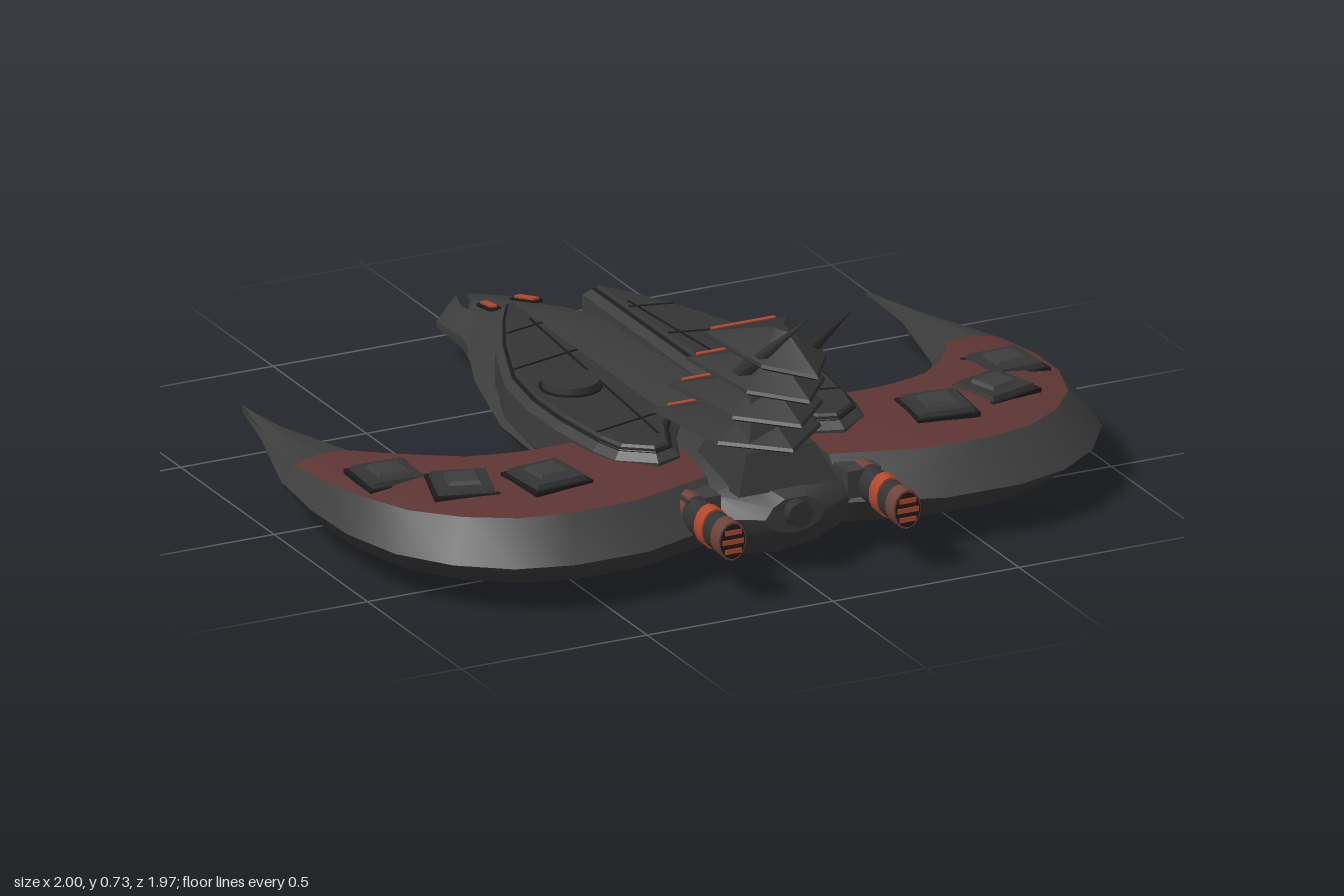
import * as THREE from 'three';
import { toCreasedNormals } from 'three/addons/utils/BufferGeometryUtils.js';

const mat = (name, color) => Object.assign(new THREE.MeshStandardMaterial({ color }), { name });

// Loft closed cross-sections; keep(i, j) picks which side faces to emit.
function loft(rings, keep = () => true, caps = true) {
  const tris = [];
  const n = rings[0].length;
  const add = (a, b, c, on) => tris.push({ p: [a, b, c].map((q) => new THREE.Vector3(...q)), on });
  for (let i = 0; i < rings.length - 1; i++) {
    for (let j = 0; j < n; j++) {
      const k = (j + 1) % n, A = rings[i], B = rings[i + 1];
      add(A[j], B[j], B[k], keep(i, j));
      add(A[j], B[k], A[k], keep(i, j));
    }
  }
  const last = rings[rings.length - 1];
  for (let j = 1; j < n - 1; j++) {
    add(rings[0][0], rings[0][j], rings[0][j + 1], caps);
    add(last[0], last[j + 1], last[j], caps);
  }
  // Turn the faces outward
  let volume = 0;
  for (const { p: [a, b, c] } of tris) volume += a.dot(b.clone().cross(c));
  const out = [];
  for (const { p: [a, b, c], on } of tris) {
    const area = b.clone().sub(a).cross(c.clone().sub(a)).length();
    if (!on || area < 1e-8) continue;
    for (const v of volume > 0 ? [a, b, c] : [a, c, b]) out.push(v.x, v.y, v.z);
  }
  const geo = new THREE.BufferGeometry();
  geo.setAttribute('position', new THREE.Float32BufferAttribute(out, 3));
  return toCreasedNormals(geo, 0.45);
}

// Mirror a geometry across x = 0 and restore its winding.
function mirror(geo) {
  const g = geo.index ? geo.toNonIndexed() : geo.clone();
  for (const key of ['position', 'normal']) {
    const a = g.attributes[key];
    for (let i = 0; i < a.count; i++) a.setX(i, -a.getX(i));
    for (let i = 0; i < a.count; i += 3) {
      const b = [a.getX(i + 1), a.getY(i + 1), a.getZ(i + 1)];
      a.setXYZ(i + 1, a.getX(i + 2), a.getY(i + 2), a.getZ(i + 2));
      a.setXYZ(i + 2, ...b);
    }
  }
  return g;
}

export function createModel() {
  const root = new THREE.Group();
  root.name = 'ship';
  const grey = mat('hullGrey', 0x3d3d3d);
  const dark = mat('deckGrey', 0x343434);
  const black = mat('seamBlack', 0x1c1c1c);
  const red = mat('wingRed', 0x5e3634);
  const orange = mat('glowOrange', 0xb5482c);
  const brown = mat('engineBrown', 0x6e443a);

  const put = (name, geo, m) => {
    const mesh = new THREE.Mesh(geo, m);
    mesh.name = name;
    root.add(mesh);
  };
  const pair = (name, geo, m) => {
    put(name + 'Left', geo, m);
    put(name + 'Right', mirror(geo), m);
  };
  const box = (w, h, d, x, y, z, ry = 0, rx = 0) =>
    new THREE.BoxGeometry(w, h, d).rotateX(rx).rotateY(ry).translate(x, y, z);

  // Main hull: z, half width, keel, chine and top heights
  const hull = [
    [-0.93, 0.008, 0.095, 0.1, 0.11], [-0.85, 0.055, 0.075, 0.105, 0.14],
    [-0.7, 0.135, 0.052, 0.115, 0.175], [-0.57, 0.19, 0.04, 0.125, 0.205],
    [-0.4, 0.26, 0.028, 0.13, 0.225], [-0.08, 0.35, 0.013, 0.14, 0.24],
    [0.2, 0.365, 0.004, 0.14, 0.245], [0.5, 0.33, 0.002, 0.145, 0.245],
    [0.7, 0.235, 0.025, 0.15, 0.235], [0.8, 0.08, 0.11, 0.155, 0.2],
  ].map(([z, w, b, c, t]) => {
    const half = [[0.45 * w, b + 0.12 * (c - b), z], [0.82 * w, b + 0.45 * (c - b), z], [w, c, z],
      [0.75 * w, c + 0.62 * (t - c), z], [0.35 * w, t, z]];
    const other = half.map(([x, y]) => [-x, y, z]).reverse();
    return [[0, b, z], ...half, ...other];
  });
  put('hull', loft(hull), grey);
  put('sternKnob', new THREE.CylinderGeometry(0.034, 0.034, 0.06, 8).rotateX(Math.PI / 2).translate(0, 0.165, 0.8), dark);

  // Nose prongs and eyes
  const prong = [
    [-0.58, 0.1, 0.18, 0.09, 0.17], [-0.69, 0.08, 0.147, 0.085, 0.155],
    [-0.85, 0.07, 0.135, 0.08, 0.135], [-0.985, 0.016, 0.024, 0.092, 0.106],
  ].map(([z, a, b, lo, hi]) => [[a, lo, z], [b, lo + 0.01, z], [b, (lo + hi) / 2, z], [a, hi, z]]);
  pair('noseProng', loft(prong), grey);
  pair('eyeSocket', box(0.03, 0.008, 0.1, 0.05, 0.167, -0.74, 0.15, -0.22), black);
  pair('eye', box(0.018, 0.009, 0.08, 0.051, 0.172, -0.74, 0.15, -0.22), orange);

  // Crescent wings: inner x, z, outer x, z, top and bottom heights
  const wing = [
    [0.838, -0.49, 0.84, -0.49, 0.135, 0.13], [0.83, -0.28, 0.895, -0.28, 0.155, 0.1],
    [0.77, 0, 0.98, 0, 0.185, 0.065], [0.715, 0.08, 1, 0.2, 0.205, 0.045],
    [0.63, 0.16, 0.995, 0.38, 0.22, 0.033], [0.555, 0.21, 0.95, 0.55, 0.228, 0.026],
    [0.47, 0.23, 0.86, 0.68, 0.234, 0.021], [0.41, 0.235, 0.74, 0.77, 0.238, 0.018],
    [0.36, 0.235, 0.6, 0.81, 0.241, 0.016], [0.28, 0.235, 0.4, 0.81, 0.244, 0.014],
    [0.13, 0.235, 0.17, 0.73, 0.244, 0.013],
  ].map(([ix, iz, ox, oz, t, b]) => {
    const e = 0.133;
    return [[0, e], [0.16, t], [0.5, t + 0.004], [0.84, t - 0.012], [1, e],
      [0.86, b + 0.4 * (e - b)], [0.68, b + 0.1 * (e - b)], [0.45, b], [0.15, b + 0.4 * (e - b)]]
      .map(([u, y]) => [ix + u * (ox - ix), y, iz + u * (oz - iz)]);
  });
  const isRed = (i, j) => i >= 2 && (j === 1 || j === 2);
  pair('wing', loft(wing, (i, j) => !isRed(i, j)), grey);
  pair('wingPanel', loft(wing, isRed, false), red);

  // Wing turrets: seam, bevelled block and cap
  [[0.83, 0.27, 0.05, 0.21], [0.715, 0.44, 0.3, 0.226], [0.525, 0.515, -0.1, 0.239]].forEach(([x, z, turn, y], i) => {
    const block = (r0, r1, h, lift) => new THREE.CylinderGeometry(r1, r0, h, 4, 1).toNonIndexed()
      .rotateY(Math.PI / 4 + turn).translate(x, y + lift, z);
    const flat = (...args) => toCreasedNormals(block(...args), 0.45);
    pair('turretSeam' + i, flat(0.114, 0.114, 0.012, 0.003), black);
    pair('turret' + i, flat(0.105, 0.094, 0.024, 0.009), dark);
    pair('turretCap' + i, flat(0.06, 0.05, 0.012, 0.024), grey);
  });

  // Raised deck armour on both sides of the central channel
  const outline = [[0.09, -0.52], [0.14, -0.51], [0.2, -0.41], [0.27, -0.27], [0.35, -0.06], [0.373, 0.1],
    [0.373, 0.25], [0.355, 0.42], [0.335, 0.5], [0.25, 0.565], [0.18, 0.54], [0.13, 0.42], [0.09, 0.36]];
  const slab = (inset, y, h, bevel) => new THREE.ExtrudeGeometry(
    new THREE.Shape(outline.map(([x, z]) => new THREE.Vector2(x, -z))),
    { depth: h - 2 * bevel, bevelSize: bevel, bevelThickness: bevel, bevelOffset: -bevel - inset, bevelSegments: 1 },
  ).rotateX(-Math.PI / 2).translate(0, y + bevel, 0);
  pair('deckArmour', slab(0, 0.15, 0.118, 0.018), grey);
  pair('deckSeam', slab(0.018, 0.2, 0.072, 0.002), black);
  pair('deckPlate', slab(0.026, 0.2, 0.082, 0.006), dark);
  [[0.17, 0.11, -0.31], [0.22, 0.2, -0.1], [0.225, 0.21, 0.36]].forEach(([x, w, z], i) =>
    pair('crossSeam' + i, box(w, 0.003, 0.006, x, 0.2825, z, -0.25), black));
  pair('longSeam', box(0.006, 0.003, 0.82, 0.165, 0.2825, 0.05, 0.08), black);
  pair('deckDiscSeam', new THREE.CylinderGeometry(0.078, 0.078, 0.006, 20).translate(0.245, 0.283, 0.085), black);
  pair('deckDisc', new THREE.CylinderGeometry(0.07, 0.073, 0.03, 20).translate(0.245, 0.287, 0.085), dark);

  // Tiered tower
  const pillar = (top, bottom, h, y) => toCreasedNormals(
    new THREE.CylinderGeometry(top, bottom, h, 4).rotateY(Math.PI / 4).translate(0, y, 0.63), 0.45);
  put('towerFoot', pillar(0.13, 0.19, 0.09, 0.255), dark);
  for (let i = 0; i < 4; i++) {
    const y = 0.312 + i * 0.078, z = 0.39 + i * 0.044, w = 0.18 - i * 0.022;
    const eave = [[-w, z], [w, z], [0.78 * w, z + 0.27], [0, z + 0.4], [-0.78 * w, z + 0.27]];
    const mid = z + 0.21;
    const ring = (s, h) => eave.map(([x, q]) => [x * s, y + h, mid + (q - mid) * s]);
    put('roof' + i, loft([ring(0.9, -0.008), ring(1, 0), ring(0.97, 0.008), ring(0.12, 0.066)]), dark);
    put('storey' + i, pillar(0.095 - i * 0.006, 0.12 - i * 0.008, 0.08, y - 0.03), grey);
    put('roofLight' + i, box(1.5 * w, 0.012, 0.012, 0, y + 0.004, z - 0.001), orange);
  }

  // Rear spikes
  const base = new THREE.Vector3(0.075, 0.47, 0.64), tip = new THREE.Vector3(0.057, 0.735, 0.985);
  const dir = tip.clone().sub(base);
  const spike = new THREE.CylinderGeometry(0.001, 0.024, dir.length(), 6)
    .applyQuaternion(new THREE.Quaternion().setFromUnitVectors(new THREE.Vector3(0, 1, 0), dir.clone().normalize()))
    .translate(...base.clone().add(tip).multiplyScalar(0.5).toArray());
  pair('spike', spike, dark);

  // Banded engines with slatted exhausts
  [[0.68, 0.73, 0.036, brown], [0.73, 0.8, 0.035, dark], [0.8, 0.84, 0.039, orange],
    [0.84, 0.885, 0.035, dark], [0.885, 0.93, 0.037, brown]].forEach(([a, b, r, m], i) =>
    pair('engineBand' + i, new THREE.CylinderGeometry(r, r, b - a, 14).rotateX(Math.PI / 2)
      .scale(1, 1.35, 1).translate(0.235, 0.173, (a + b) / 2), m));
  pair('exhaust', new THREE.CylinderGeometry(0.033, 0.033, 0.004, 14).rotateX(Math.PI / 2)
    .scale(1, 1.35, 1).translate(0.235, 0.173, 0.931), black);
  for (let i = -1; i <= 1; i++) {
    pair('exhaustSlat' + (i + 1), box(0.056 - 0.012 * Math.abs(i), 0.012, 0.004, 0.235, 0.173 + i * 0.024, 0.934), orange);
  }
  pair('engineMount', box(0.09, 0.07, 0.2, 0.215, 0.18, 0.64), grey);
  return root;
}
